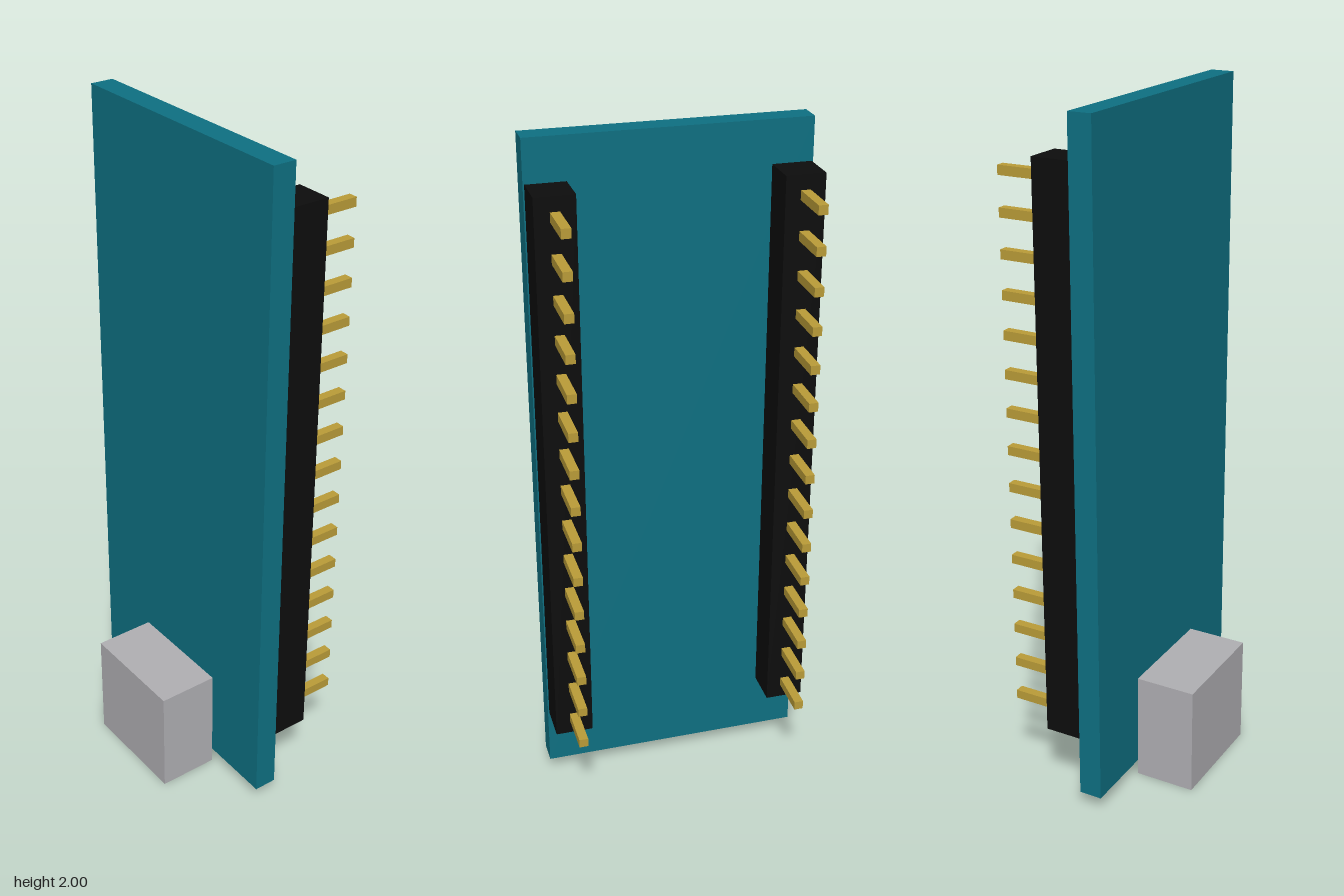
import * as THREE from 'three';

const material = (name, color) => {
  const m = new THREE.MeshStandardMaterial({ color });
  m.name = name;
  return m;
};

export function createModel() {
  const teal = material('board teal', 0x0e7082);
  const black = material('header black', 0x0d0d0d);
  const gold = material('pin gold', 0xba9c38);
  const grey = material('connector grey', 0xb0afb3);

  const model = new THREE.Group();
  model.name = 'microcontrollerBoard';

  // Box given by its minimum and maximum corners
  function box(parent, name, mat, [x0, y0, z0], [x1, y1, z1]) {
    const mesh = new THREE.Mesh(new THREE.BoxGeometry(x1 - x0, y1 - y0, z1 - z0), mat);
    mesh.position.set((x0 + x1) / 2, (y0 + y1) / 2, (z0 + z1) / 2);
    mesh.name = name;
    parent.add(mesh);
  }

  // Circuit board and the plug socket overhanging its lower edge
  box(model, 'circuitBoard', teal, [-0.39, 0.047, -0.005], [0.39, 2, 0.063]);
  box(model, 'usbSocket', grey, [-0.169, 0, 0.063], [0.169, 0.328, 0.243]);

  // Two pin headers on the back, fifteen square pins each
  const pinCount = 15, firstPin = 0.28, pitch = 0.1104, half = 0.0132;
  for (const [side, label] of [[1, 'left'], [-1, 'right']]) {
    const header = new THREE.Group();
    header.name = label + 'PinHeader';
    model.add(header);
    const x = side * 0.331;
    box(header, label + 'HeaderStrip', black, [x - 0.055, 0.225, -0.115], [x + 0.055, 1.88, -0.005]);
    for (let i = 0; i < pinCount; i++) {
      const y = firstPin + i * pitch;
      box(header, label + 'Pin' + (i + 1), gold, [x - half, y - half, -0.245], [x + half, y + half, -0.115]);
    }
  }
  return model;
}
